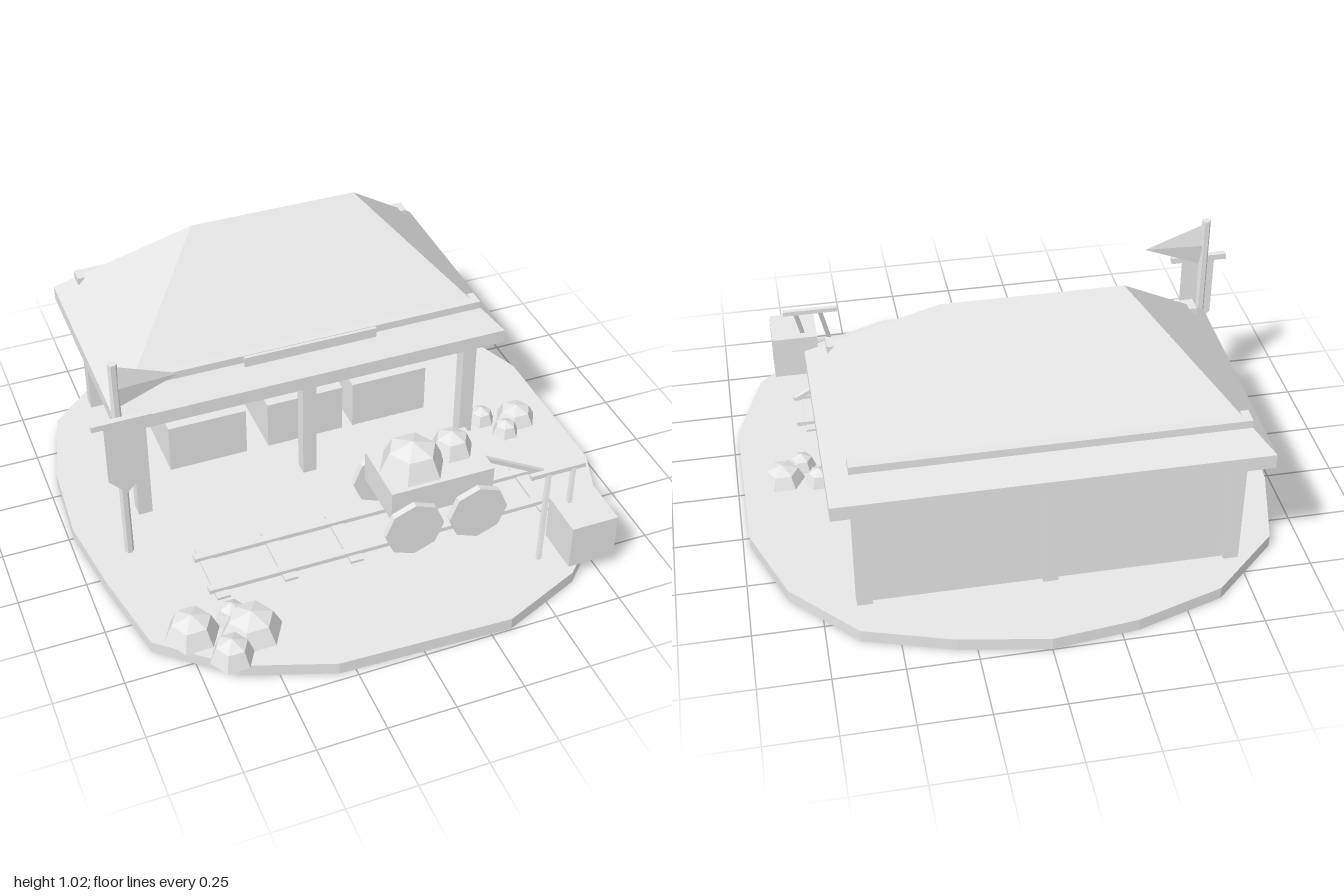
import * as THREE from 'three';

const grey = new THREE.MeshStandardMaterial({ color: 0xe7e7e7, flatShading: true });
grey.name = 'pale grey';
const greySheet = new THREE.MeshStandardMaterial({ color: 0xe7e7e7, flatShading: true, side: THREE.DoubleSide });
greySheet.name = 'pale grey sheet';

export function createModel() {
  const model = new THREE.Group();
  model.name = 'miningCamp';

  const add = (name, geometry, material = grey) => {
    const mesh = new THREE.Mesh(geometry, material);
    mesh.name = name;
    model.add(mesh);
    return mesh;
  };
  // box from its limits on each axis
  const box = (name, x0, x1, y0, y1, z0, z1) => {
    const mesh = add(name, new THREE.BoxGeometry(x1 - x0, y1 - y0, z1 - z0));
    mesh.position.set((x0 + x1) / 2, (y0 + y1) / 2, (z0 + z1) / 2);
    return mesh;
  };
  // square bar between two points
  const up = new THREE.Vector3(0, 1, 0);
  const bar = (name, a, b, size) => {
    const from = new THREE.Vector3(...a), to = new THREE.Vector3(...b);
    const mesh = add(name, new THREE.BoxGeometry(size, from.distanceTo(to), size));
    mesh.position.copy(from).lerp(to, 0.5);
    mesh.quaternion.setFromUnitVectors(up, to.sub(from).normalize());
  };
  // box whose upper (side 1) or lower (side -1) face shrinks to a ridge or point
  const tapered = (name, x0, x1, y0, y1, z0, z1, side, ridge) => {
    const mesh = box(name, x0, x1, y0, y1, z0, z1);
    const p = mesh.geometry.attributes.position;
    for (let i = 0; i < p.count; i++) {
      if (p.getY(i) * side > 0) p.setXYZ(i, Math.sign(p.getX(i)) * ridge, p.getY(i), 0);
    }
    mesh.geometry.computeVertexNormals();
  };
  // six-sided half dome
  const rock = (name, x, y, z, r, h) => {
    const mesh = add(name, new THREE.SphereGeometry(r, 6, 2, 0, Math.PI * 2, 0, Math.PI / 2));
    mesh.scale.y = h / r;
    mesh.position.set(x, y, z);
  };

  // ground slab with an uneven outline
  const outline = [
    [0, -1], [0.32, -0.945], [0.635, -0.845], [0.86, -0.605], [0.975, -0.3], [0.98, 0.32],
    [0.87, 0.64], [0.63, 0.87], [0.325, 0.997], [-0.31, 0.973], [-0.63, 0.86], [-0.875, 0.65],
    [-0.94, 0.32], [-0.983, 0.005], [-0.965, -0.315], [-0.88, -0.635], [-0.63, -0.865], [-0.31, -0.965],
  ];
  const ground = new THREE.Shape(outline.map(([x, z]) => new THREE.Vector2(x, -z)));
  add('ground', new THREE.ExtrudeGeometry(ground, { depth: 0.048, bevelEnabled: false }).rotateX(-Math.PI / 2));

  // shelter: posts, back wall, roof
  for (const x of [-0.706, -0.051, 0.604]) {
    for (const z of [-0.695, -0.012]) box('post', x - 0.027, x + 0.027, 0.047, 0.516, z - 0.027, z + 0.027);
  }
  box('backWall', -0.71, 0.604, 0.047, 0.514, -0.705, -0.685);
  box('eave', -0.802, 0.706, 0.513, 0.568, -0.803, 0.088);
  tapered('roof', -0.802, 0.706, 0.568, 1.014, -0.803, 0.088, 1, 0.315);
  tapered('ceiling', -0.75, 0.65, 0.488, 0.514, -0.74, 0.03, -1, 0);
  box('frontRoofTrim', -0.731, 0.632, 0.641, 0.671, -0.047, 0.015);
  box('backRoofTrim', -0.731, 0.632, 0.641, 0.671, -0.733, -0.673);
  box('roofTrimPlate', -0.303, 0.207, 0.63, 0.669, -0.02, 0.028);

  // crates of ore under the roof
  for (const x of [-0.392, 0.006, 0.36]) {
    box('oreCrate', x - 0.155, x + 0.155, 0.047, 0.249, -0.581, -0.185);
    rock('crateOre', x, 0.249, -0.383, 0.13, 0.09);
  }

  // track
  for (const z of [0.328, 0.498]) box('rail', -0.618, 0.748, 0.055, 0.072, z - 0.015, z + 0.015);
  for (let i = 0; i < 6; i++) {
    const x = -0.575 + i * 0.253;
    box('sleeper', x - 0.025, x + 0.025, -0.002, 0.058, 0.28, 0.543);
  }

  // mine cart
  box('cartBody', 0.063, 0.463, 0.197, 0.322, 0.284, 0.534);
  for (const x of [0.14, 0.392]) {
    for (const z of [0.257, 0.56]) {
      const wheel = add('cartWheel', new THREE.CylinderGeometry(0.115, 0.115, 0.025, 8).rotateX(Math.PI / 2));
      wheel.position.set(x, 0.161, z);
    }
  }
  bar('cartHandle', [0.458, 0.278, 0.411], [0.742, 0.118, 0.411], 0.017);
  rock('cartOre', 0.193, 0.322, 0.408, 0.127, 0.109);
  rock('cartOre', 0.363, 0.322, 0.379, 0.083, 0.083);

  // loose rocks: x, z, radius, height
  for (const [x, z, r, h] of [
    [-0.732, 0.662, 0.1, 0.095], [-0.582, 0.648, 0.06, 0.085], [-0.536, 0.72, 0.113, 0.095],
    [-0.637, 0.813, 0.08, 0.09], [0.828, 0.008, 0.083, 0.068], [0.752, 0.073, 0.055, 0.06],
    [0.695, -0.03, 0.055, 0.065],
  ]) rock('rock', x, 0.047, z, r, h);

  // flagpole with a flattened pennant and hanging banner
  const pole = add('flagpole', new THREE.CylinderGeometry(0.017, 0.017, 0.853, 6).rotateY(Math.PI / 6));
  pole.position.set(-0.818, 0.4735, 0.185);
  const pennant = add('pennant', new THREE.ConeGeometry(0.085, 0.217, 4).rotateZ(-Math.PI / 2).scale(1, 1, 0.14));
  pennant.position.set(-0.697, 0.797, 0.185);
  box('bannerBar', -0.925, -0.713, 0.688, 0.711, 0.236, 0.258);
  const cloth = [[-0.882, 0.7], [-0.882, 0.447], [-0.818, 0.378], [-0.755, 0.447], [-0.755, 0.7]];
  const banner = new THREE.Shape(cloth.map(([x, y]) => new THREE.Vector2(x, y)));
  add('banner', new THREE.ShapeGeometry(banner), greySheet).position.z = 0.247;

  // supply crate with two leaning picks
  box('supplyCrate', 0.627, 0.807, 0.052, 0.232, 0.662, 0.842);
  for (const x of [0.54, 0.638]) {
    bar('pickHandle', [x, 0.005, 0.772], [x + 0.07, 0.355, 0.667], 0.016);
    box('pickHead', x, x + 0.118, 0.349, 0.367, 0.654, 0.672);
  }
  return model;
}
